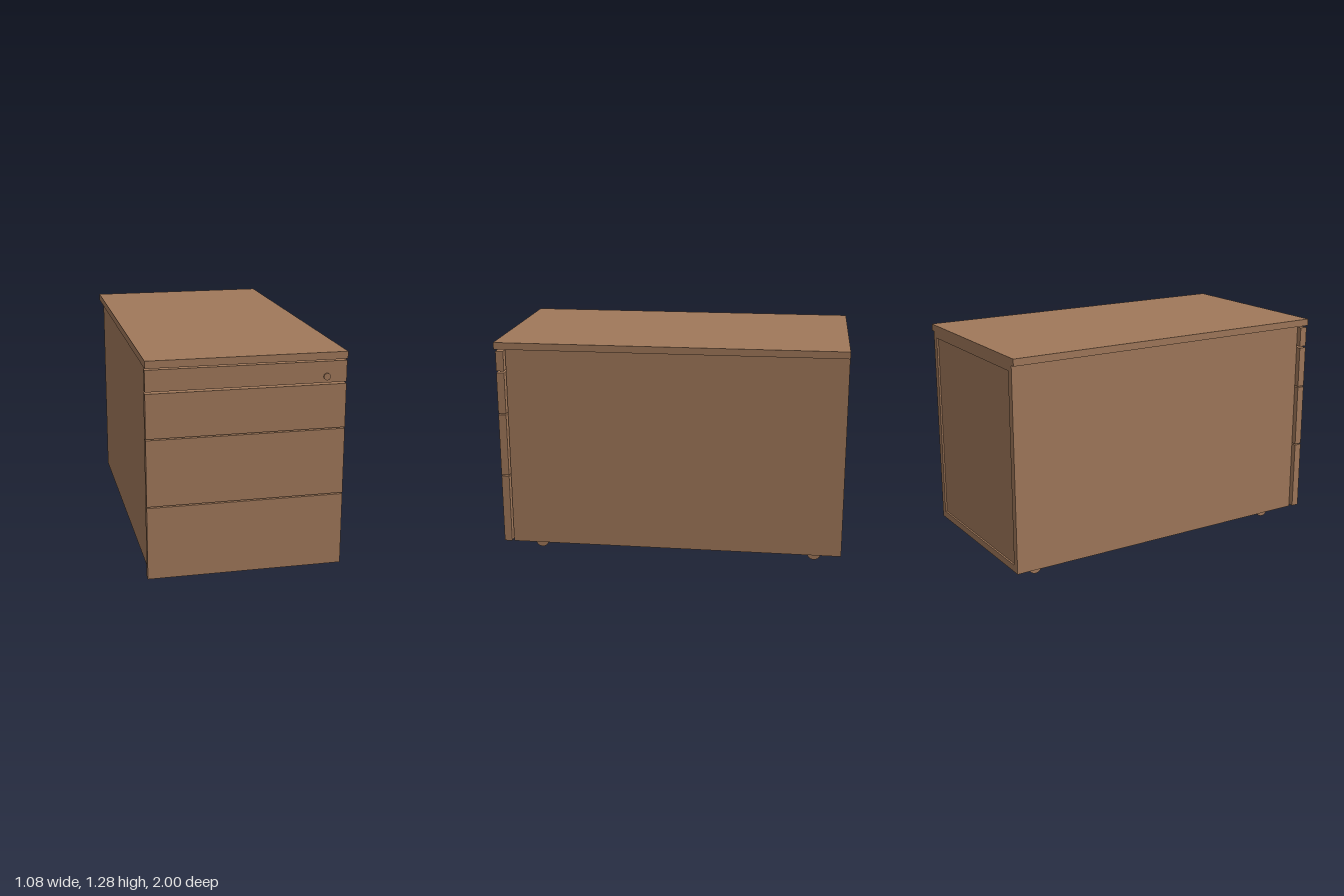
import * as THREE from 'three';

export function createModel() {
  const model = new THREE.Group();
  model.name = 'drawerPedestal';
  const wood = new THREE.MeshStandardMaterial({ color: 0xa0785a });
  wood.name = 'warm brown';

  // Box given by its limits on each axis
  const box = (name, [x0, x1], [y0, y1], [z0, z1], parent = model) => {
    const mesh = new THREE.Mesh(new THREE.BoxGeometry(x1 - x0, y1 - y0, z1 - z0), wood);
    mesh.position.set((x0 + x1) / 2, (y0 + y1) / 2, (z0 + z1) / 2);
    mesh.name = name;
    parent.add(mesh);
    return mesh;
  };

  // Cylinder lying along x or z, or standing along y
  const cylinder = (name, radius, length, sides, axis, [x, y, z], parent = model) => {
    const geometry = new THREE.CylinderGeometry(radius, radius, length, sides);
    if (axis === 'x') geometry.rotateZ(Math.PI / 2);
    if (axis === 'z') geometry.rotateX(Math.PI / 2);
    const mesh = new THREE.Mesh(geometry, wood);
    mesh.position.set(x, y, z);
    mesh.name = name;
    parent.add(mesh);
    return mesh;
  };

  // Carcass: worktop, sides, floor and slightly recessed back
  box('top', [-0.54, 0.54], [1.24, 1.28], [-1, 1]);
  box('leftSide', [0.475, 0.515], [0.065, 1.24], [-1, 0.94]);
  box('rightSide', [-0.515, -0.475], [0.065, 1.24], [-1, 0.94]);
  box('floor', [-0.475, 0.475], [0.065, 0.105], [-1, 0.94]);
  box('topRail', [-0.475, 0.475], [1.205, 1.24], [-1, 0.94]);
  box('back', [-0.475, 0.475], [0.105, 1.205], [-0.99, -0.96]);

  // Drawer fronts with narrow gaps, each with a box behind it
  const fronts = [[0.075, 0.481], [0.488, 0.855], [0.862, 1.104], [1.114, 1.23]];
  fronts.forEach(([y0, y1], i) => {
    const drawer = new THREE.Group();
    drawer.name = `drawer${i + 1}`;
    model.add(drawer);
    box('drawerFront', [-0.54, 0.54], [y0, y1], [0.945, 0.99], drawer);
    box('drawerBox', [-0.46, 0.46], [Math.max(y0, 0.11) + 0.02, Math.min(y1, 1.2) - 0.02], [-0.9, 0.945], drawer);
  });

  // Lock on the top drawer
  cylinder('lock', 0.019, 0.03, 12, 'z', [0.43, 1.147, 0.985]);
  box('lockPlate', [0.4, 0.46], [1.17, 1.23], [0.935, 0.95]);

  // Twin-wheel casters
  for (const x of [-0.375, 0.375]) {
    for (const z of [0.79, -0.845]) {
      const caster = new THREE.Group();
      caster.name = 'caster';
      caster.position.set(x, 0, z);
      model.add(caster);
      for (const side of [-1, 1]) {
        cylinder('wheel', 0.04, 0.037, 20, 'x', [side * 0.034, 0.04, 0], caster);
      }
      cylinder('axle', 0.012, 0.04, 12, 'x', [0, 0.04, 0], caster);
      cylinder('stem', 0.011, 0.05, 12, 'y', [0, 0.045, 0], caster);
    }
  }
  return model;
}
